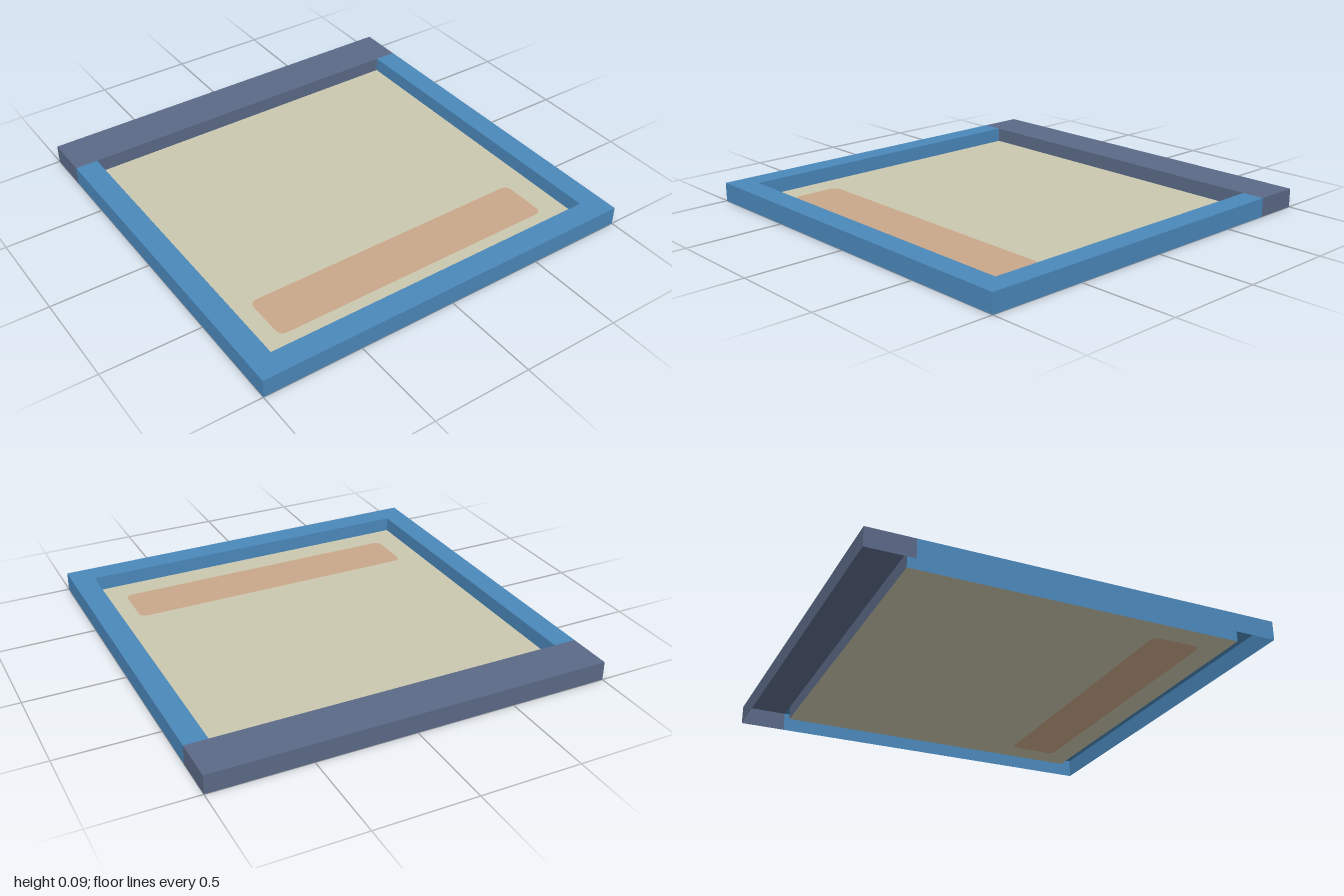
import * as THREE from 'three';

const HEIGHT = 0.095; // top of the rim
const FLOOR = 0.02; // level of the recessed floor
const SIDE = 0.885; // inner half width
const FRONT = 0.88; // inner front edge
const BACK = -0.77; // inner back edge, where the back bar starts

const material = (name, color) => {
  const m = new THREE.MeshStandardMaterial({ color, side: THREE.DoubleSide });
  m.name = name;
  return m;
};

export function createModel() {
  const blue = material('blue', 0x4b88bb);
  const slate = material('slate', 0x5b6a87);
  const sand = material('sand', 0xcac8ae);
  const clay = material('clay', 0xcaa78a);

  const model = new THREE.Group();
  model.name = 'tray';

  const add = (name, geometry, mat) => {
    const mesh = new THREE.Mesh(geometry, mat);
    mesh.name = name;
    model.add(mesh);
    return mesh;
  };

  // Flat sheet from a shape drawn in x and -z
  const sheet = (name, shape, y, mat) => {
    const geometry = new THREE.ShapeGeometry(shape, 6);
    geometry.rotateX(-Math.PI / 2).translate(0, y, 0);
    return add(name, geometry, mat);
  };

  // Upright wall between two floor points; it faces right of the direction of travel
  const wall = (name, [x1, z1], [x2, z2], bottom, mat) => {
    const geometry = new THREE.PlaneGeometry(Math.hypot(x2 - x1, z2 - z1), HEIGHT - bottom);
    const mesh = add(name, geometry, mat);
    mesh.position.set((x1 + x2) / 2, (HEIGHT + bottom) / 2, (z1 + z2) / 2);
    mesh.rotation.y = Math.atan2(z1 - z2, x2 - x1);
  };

  const polygon = (points) => new THREE.Shape(points.map(([x, z]) => new THREE.Vector2(x, -z)));

  // Rim tops: a U-shaped blue frame and the wide back bar
  sheet('frameTop', polygon([
    [-1, BACK], [-1, 1], [1, 1], [1, BACK],
    [SIDE, BACK], [SIDE, FRONT], [-SIDE, FRONT], [-SIDE, BACK],
  ]), HEIGHT, blue);
  sheet('backBarTop', polygon([[-1, -1], [-1, BACK], [1, BACK], [1, -1]]), HEIGHT, slate);

  // Outer walls; the rim is hollow and open underneath
  wall('frontOuterWall', [-1, 1], [1, 1], 0, blue);
  wall('leftOuterWall', [1, 1], [1, BACK], 0, blue);
  wall('backBarLeftEnd', [1, BACK], [1, -1], 0, slate);
  wall('backBarOuterWall', [1, -1], [-1, -1], 0, slate);
  wall('backBarRightEnd', [-1, -1], [-1, BACK], 0, slate);
  wall('rightOuterWall', [-1, BACK], [-1, 1], 0, blue);

  // Inner walls reach down to the floor
  wall('frontInnerWall', [SIDE, FRONT], [-SIDE, FRONT], FLOOR, blue);
  wall('rightInnerWall', [-SIDE, FRONT], [-SIDE, BACK], FLOOR, blue);
  wall('backBarInnerWall', [-SIDE, BACK], [SIDE, BACK], FLOOR, slate);
  wall('leftInnerWall', [SIDE, BACK], [SIDE, FRONT], FLOOR, blue);

  // Rounded strip set flush into the floor
  const strip = new THREE.Shape();
  const w = 0.76, near = -0.755, far = -0.5, r = 0.04;
  strip.moveTo(-w + r, near);
  strip.lineTo(w - r, near);
  strip.quadraticCurveTo(w, near, w, near + r);
  strip.lineTo(w, far - r);
  strip.quadraticCurveTo(w, far, w - r, far);
  strip.lineTo(-w + r, far);
  strip.quadraticCurveTo(-w, far, -w, far - r);
  strip.lineTo(-w, near + r);
  strip.quadraticCurveTo(-w, near, -w + r, near);

  const floor = polygon([[-SIDE, BACK], [-SIDE, FRONT], [SIDE, FRONT], [SIDE, BACK]]);
  floor.holes.push(strip);
  sheet('floor', floor, FLOOR, sand);
  sheet('floorStrip', strip, FLOOR, clay);

  return model;
}
